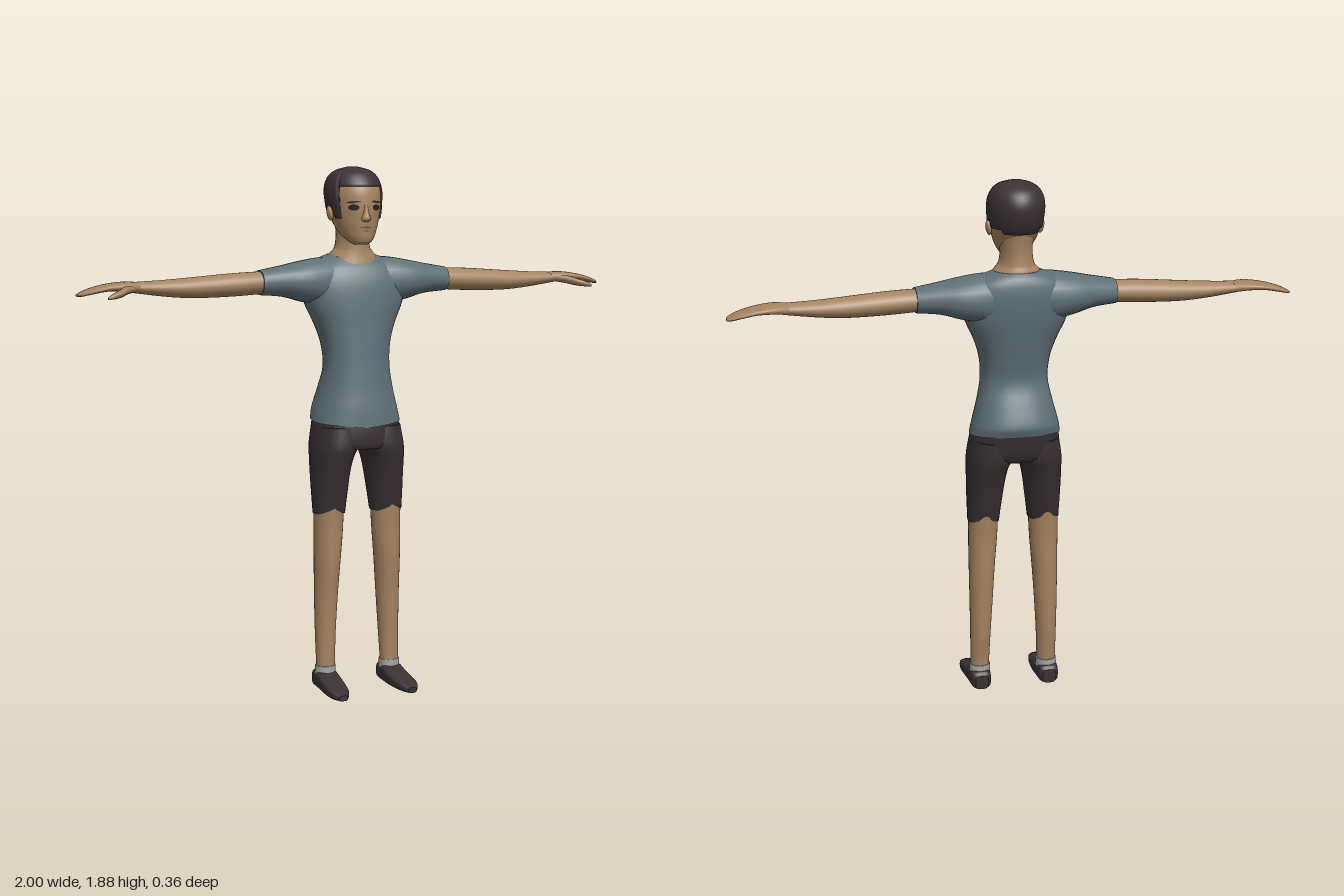
import * as THREE from 'three';

const mat = (name, color) => Object.assign(new THREE.MeshStandardMaterial({ color }), { name });

// Smoothly interpolate a table of cross-sections [t, a0, a1, b0, b1] at t
function sample(rows, t) {
  let i = 0;
  while (i < rows.length - 2 && t > rows[i + 1][0]) i++;
  const p = rows[i], q = rows[i + 1], h = q[0] - p[0], s = (t - p[0]) / h;
  const o = rows[Math.max(i - 1, 0)], r = rows[Math.min(i + 2, rows.length - 1)];
  return p.map((v, k) => {
    if (k === 0) return t;
    const m0 = (q[k] - o[k]) / (q[0] - o[0]) * h, m1 = (r[k] - v) / (r[0] - p[0]) * h;
    return (2 * s ** 3 - 3 * s * s + 1) * v + (s ** 3 - 2 * s * s + s) * m0
      + (3 * s * s - 2 * s ** 3) * q[k] + (s ** 3 - s * s) * m1;
  });
}

// Point on a superelliptic cross-section
function ringPoint([, a0, a1, b0, b1], angle, power, grow = 0) {
  const f = (v) => Math.sign(v) * Math.abs(v) ** (2 / power);
  return [(a0 + a1) / 2 + f(Math.cos(angle)) * ((a1 - a0) / 2 + grow),
    (b0 + b1) / 2 + f(Math.sin(angle)) * ((b1 - b0) / 2 + grow)];
}

// Axis order: x -> (y, z), y -> (z, x), z -> (x, y)
const place = {
  x: (t, a, b) => [t, a, b],
  y: (t, a, b) => [b, t, a],
  z: (t, a, b) => [a, b, t],
};

// Skin a grid of rings; optionally close both ends
function skinRings(rings, caps = true) {
  const n = rings[0].length, pos = rings.flat(2), index = [];
  for (let j = 0; j < rings.length - 1; j++) {
    for (let i = 0; i < n; i++) {
      const k = (i + 1) % n, a = j * n + i, b = j * n + k;
      index.push(a, b, b + n, a, b + n, a + n);
    }
  }
  if (caps) {
    [rings[0], rings[rings.length - 1]].forEach((ring, end) => {
      const base = pos.length / 3;
      const mid = [0, 1, 2].map((k) => ring.reduce((s, p) => s + p[k], 0) / n);
      pos.push(...ring.flat(), ...mid);
      for (let i = 0; i < n; i++) {
        const a = base + i, b = base + (i + 1) % n;
        index.push(base + n, ...(end ? [a, b] : [b, a]));
      }
    });
  }
  const g = new THREE.BufferGeometry();
  g.setAttribute('position', new THREE.Float32BufferAttribute(pos, 3));
  g.setIndex(index);
  g.computeVertexNormals();
  return g;
}

function loft(axis, rows, { power = 2, seg = 28, steps = 4, warp = (p) => p } = {}) {
  const rings = [];
  for (let j = 0; j <= (rows.length - 1) * steps; j++) {
    const i = Math.min(Math.floor(j / steps), rows.length - 2);
    const t = rows[i][0] + (rows[i + 1][0] - rows[i][0]) * (j / steps - i);
    const row = sample(rows, t);
    rings.push(Array.from({ length: seg }, (_, k) =>
      warp(place[axis](t, ...ringPoint(row, k / seg * Math.PI * 2, power)))));
  }
  return skinRings(rings);
}

// Mirror a geometry across x = 0, keeping its faces outward
function mirrored(g) {
  const m = g.clone().scale(-1, 1, 1), ix = m.index.array;
  for (let i = 0; i < ix.length; i += 3) [ix[i], ix[i + 1]] = [ix[i + 1], ix[i]];
  m.computeVertexNormals();
  return m;
}

// Head sections: [y, back z, front z, half width]
const HEAD = [
  [1.603, -0.01, 0.045, 0.022], [1.615, -0.035, 0.058, 0.042], [1.65, -0.1, 0.064, 0.066],
  [1.7, -0.145, 0.067, 0.084], [1.75, -0.167, 0.068, 0.092], [1.8, -0.172, 0.06, 0.093],
  [1.84, -0.15, 0.032, 0.077], [1.86, -0.115, 0.0, 0.049], [1.87, -0.07, -0.045, 0.012],
].map(([y, b, f, w]) => [y, b, f, -w, w]);

// Thin oval that follows the face
function faceOval(x, y, w, h, lift, tilt = 0) {
  const g = new THREE.CircleGeometry(1, 20).scale(w / 2, h / 2, 1).rotateZ(tilt).translate(x, y, 0);
  const p = g.attributes.position;
  for (let i = 0; i < p.count; i++) {
    const [, b, f, , hw] = sample(HEAD, p.getY(i));
    p.setZ(i, (b + f) / 2 + (f - b) / 2 * Math.sqrt(1 - (p.getX(i) / hw) ** 2) + lift);
  }
  g.computeVertexNormals();
  return g;
}

// Hair shell whose lower edge steps around face, sideburns, ears and nape
function hairGeometry() {
  const seg = 72, steps = 16, rings = [];
  const hairline = (d) => (d < 57 ? 1.806 : d < 77 ? 1.695 : d < 103 ? 1.738 : d < 140 ? 1.715 : 1.7);
  for (let j = -1; j <= steps; j++) {
    const s = 1 - (1 - Math.max(j, 0) / steps) ** 2;
    rings.push(Array.from({ length: seg }, (_, k) => {
      const deg = k * 360 / seg, low = hairline(Math.min(deg, 360 - deg));
      const y = low + (1.87 - low) * s;
      const [z, x] = ringPoint(sample(HEAD, y), deg * Math.PI / 180, 2, j < 0 ? -0.004 : 0.006);
      return [x, y + 0.005 * s, z];
    }));
  }
  // Close the crown with a small cap of the same hair
  const n = seg, top = rings[rings.length - 1];
  const mid = [0, 1, 2].map((k) => top.reduce((s, p) => s + p[k], 0) / n);
  rings.push(top.map(() => mid));
  return skinRings(rings, false);
}

export function createModel() {
  const root = new THREE.Group();
  root.name = 'person';
  const skin = mat('skin', 0xa58460), shirt = mat('shirt blue grey', 0x5f7078);
  const shorts = mat('shorts charcoal', 0x383032), hair = mat('hair dark brown', 0x3b3234);
  const shoe = mat('shoe dark', 0x3a3133), sock = mat('sock grey', 0xa5a2a4);
  const eye = mat('eye dark', 0x2a2020), lip = mat('lip brown', 0x7a573f);

  const add = (name, g, m) => {
    const mesh = new THREE.Mesh(g, m);
    mesh.name = name;
    root.add(mesh);
  };
  const pair = (name, g, m) => {
    add(name + 'Left', g, m);
    add(name + 'Right', mirrored(g), m);
  };
  const sym = (rows) => rows.map(([y, b, f, w]) => [y, b, f, -w, w]);

  // Shirt body with a hem dipping at the front
  add('shirtBody', loft('y', sym([
    [0.97, -0.168, 0.096, 0.162], [1.02, -0.178, 0.092, 0.153], [1.09, -0.155, 0.082, 0.135],
    [1.17, -0.125, 0.075, 0.12], [1.25, -0.135, 0.07, 0.125], [1.32, -0.15, 0.065, 0.147],
    [1.4, -0.165, 0.06, 0.183], [1.47, -0.172, 0.05, 0.19], [1.52, -0.17, 0.03, 0.17],
    [1.55, -0.16, 0.006, 0.125], [1.566, -0.145, -0.01, 0.085],
  ]), {
    power: 2.3, seg: 40,
    warp: ([x, y, z]) => {
      const k = Math.max(0, (1.03 - y) / 0.06);
      return [x, y + k * (z > 0 ? -0.014 * (1 - Math.abs(x) / 0.16) : -0.1 * z) + k * 0.003, z];
    },
  }), shirt);

  // Sleeves, bare arms, hands and thumbs
  pair('sleeve', loft('x', [
    [0.05, 1.38, 1.56, -0.155, 0.02], [0.13, 1.388, 1.556, -0.163, 0.032],
    [0.2, 1.402, 1.545, -0.157, 0.035], [0.27, 1.421, 1.531, -0.136, 0.02],
    [0.355, 1.429, 1.516, -0.111, 0.003],
  ], { power: 2.2 }), shirt);
  pair('arm', loft('x', [
    [0.32, 1.435, 1.513, -0.107, -0.002], [0.45, 1.427, 1.508, -0.106, -0.003],
    [0.6, 1.425, 1.497, -0.105, -0.01], [0.7, 1.433, 1.49, -0.102, -0.016],
    [0.81, 1.448, 1.485, -0.099, -0.022],
  ]), skin);
  pair('hand', loft('x', [
    [0.79, 1.447, 1.485, -0.099, -0.022], [0.84, 1.454, 1.487, -0.115, -0.01],
    [0.9, 1.455, 1.48, -0.122, -0.014], [0.95, 1.447, 1.468, -0.12, -0.022],
    [0.985, 1.44, 1.455, -0.11, -0.036], [1, 1.439, 1.446, -0.096, -0.055],
  ], { power: 2.4 }), skin);
  pair('thumb', loft('x', [
    [0.8, 1.453, 1.478, -0.065, -0.025], [0.84, 1.446, 1.476, -0.055, 0.006],
    [0.87, 1.438, 1.465, -0.015, 0.032], [0.9, 1.434, 1.454, 0.014, 0.045],
    [0.922, 1.434, 1.442, 0.034, 0.043],
  ], { seg: 16 }), skin);

  // Shorts: hips and two legs, each with a notched hem
  add('shortsHips', loft('y', sym([
    [0.882, -0.125, 0.085, 0.13], [0.9, -0.142, 0.091, 0.16],
    [0.95, -0.158, 0.092, 0.161], [1.01, -0.168, 0.084, 0.148],
  ]), { power: 2.3, seg: 40 }), shorts);
  pair('shortsLeg', loft('y', [
    [0.65, -0.077, 0.046, 0.054, 0.167], [0.73, -0.096, 0.059, 0.044, 0.17],
    [0.8, -0.115, 0.072, 0.035, 0.171], [0.85, -0.13, 0.085, 0.024, 0.171],
    [0.89, -0.142, 0.092, 0.006, 0.17], [0.96, -0.145, 0.085, 0.006, 0.158],
  ], {
    power: 2.2,
    warp: ([x, y, z]) => [x, y + Math.max(0, (0.7 - y) / 0.05)
      * (0.022 * Math.max(0, 1 - Math.abs(x - 0.115) / 0.05) - 0.005), z],
  }), shorts);

  // Bare legs, socks and shoes
  pair('leg', loft('y', [
    [0.03, -0.045, 0.02, 0.095, 0.158], [0.1, -0.047, 0.02, 0.091, 0.16],
    [0.2, -0.06, 0.022, 0.087, 0.161], [0.35, -0.068, 0.028, 0.078, 0.163],
    [0.47, -0.073, 0.04, 0.07, 0.164], [0.58, -0.073, 0.042, 0.061, 0.165],
    [0.72, -0.085, 0.05, 0.055, 0.164],
  ]), skin);
  pair('sock', loft('y', [
    [0.04, -0.052, 0.026, 0.089, 0.165], [0.085, -0.05, 0.023, 0.088, 0.163],
  ]), sock);
  pair('shoe', loft('z', [
    [-0.065, 0.103, 0.152, 0, 0.052], [-0.053, 0.092, 0.163, 0, 0.064],
    [0, 0.087, 0.168, 0, 0.068], [0.04, 0.086, 0.17, 0, 0.056], [0.1, 0.09, 0.173, 0, 0.041],
    [0.15, 0.1, 0.168, 0, 0.031], [0.18, 0.118, 0.15, 0, 0.02],
  ], { power: 3.6 }), shoe);

  // Neck, head and hair
  add('neck', loft('y', sym([
    [1.535, -0.14, 0.022, 0.1], [1.565, -0.146, 0.016, 0.083], [1.59, -0.138, 0.014, 0.062],
    [1.65, -0.136, 0.01, 0.056], [1.73, -0.147, 0, 0.066],
  ])), skin);
  add('head', loft('y', HEAD, { seg: 40 }), skin);
  add('hair', hairGeometry(), hair);

  // Face details
  add('nose', loft('y', sym([
    [1.683, 0.045, 0.07, 0.012], [1.692, 0.045, 0.084, 0.017],
    [1.715, 0.045, 0.077, 0.011], [1.755, 0.045, 0.067, 0.007],
  ]), { seg: 16 }), skin);
  pair('ear', new THREE.SphereGeometry(1, 16, 12).scale(0.01, 0.027, 0.017)
    .rotateX(-0.15).rotateZ(-0.15).translate(0.093, 1.712, -0.043), skin);
  pair('eye', faceOval(0.042, 1.733, 0.034, 0.021, 0.003), eye);
  pair('eyebrow', faceOval(0.042, 1.752, 0.044, 0.008, 0.003, -0.1), hair);
  add('mouth', faceOval(0, 1.663, 0.046, 0.007, 0.003), lip);
  add('lowerLip', faceOval(0, 1.651, 0.024, 0.004, 0.003), lip);
  return root;
}
